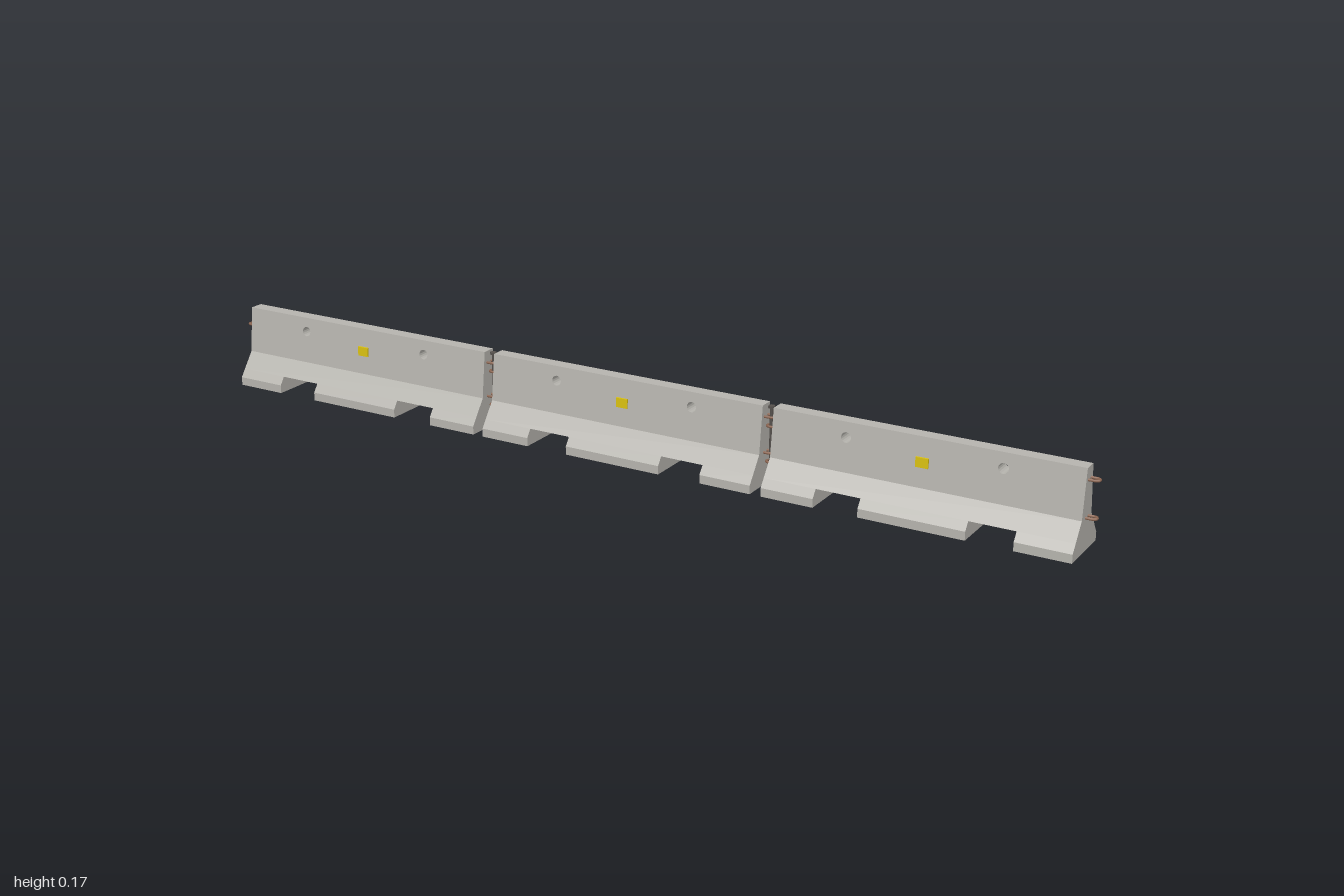
import * as THREE from 'three';
import { mergeGeometries } from 'three/addons/utils/BufferGeometryUtils.js';

const PITCH = 0.66, HALF = 0.318;            // barrier spacing and half length
const NOTCH_IN = 0.11, NOTCH_OUT = 0.205;    // forklift pockets
const FOOT = 0.018, POCKET = 0.035, KNEE = 0.07, TOP = 0.17;

// Half thickness of the barrier at a given height
function halfDepth(y) {
  if (y <= FOOT) return 0.0635;
  if (y <= KNEE) return THREE.MathUtils.mapLinear(y, FOOT, KNEE, 0.0635, 0.026);
  return THREE.MathUtils.mapLinear(y, KNEE, TOP, 0.026, 0.015);
}

// Symmetrical cross-section through the given heights, extruded from x0 to x1
function slab(heights, x0, x1) {
  const right = heights.map((y) => new THREE.Vector2(halfDepth(y), y));
  const left = heights.map((y) => new THREE.Vector2(-halfDepth(y), y)).reverse();
  const g = new THREE.ExtrudeGeometry(new THREE.Shape([...right, ...left]), { depth: x1 - x0, bevelEnabled: false });
  return g.rotateY(Math.PI / 2).translate(x0, 0, 0);
}

// Upper wall with two lifting holes, tapered towards the top
function upperWall() {
  const shape = new THREE.Shape();
  shape.moveTo(-HALF, KNEE).lineTo(HALF, KNEE).lineTo(HALF, TOP).lineTo(-HALF, TOP).closePath();
  for (const x of [-0.16, 0.16]) {
    shape.holes.push(new THREE.Path().absarc(x, 0.139, 0.0105, 0, Math.PI * 2, true));
  }
  const g = new THREE.ExtrudeGeometry(shape, { depth: 1, bevelEnabled: false, curveSegments: 8 });
  const p = g.attributes.position;
  for (let i = 0; i < p.count; i++) p.setZ(i, (p.getZ(i) > 0.5 ? 1 : -1) * halfDepth(p.getY(i)));
  g.computeVertexNormals();
  return g;
}

// Horizontal U-shaped bar sticking out of the +x end
function loopGeometry() {
  const path = new THREE.CurvePath();
  const pts = [[-0.005, -0.0075], [0.014, -0.0075], [0.0195, -0.004], [0.0195, 0.004], [0.014, 0.0075], [-0.005, 0.0075]]
    .map(([x, z]) => new THREE.Vector3(x, 0, z));
  for (let i = 1; i < pts.length; i++) path.add(new THREE.LineCurve3(pts[i - 1], pts[i]));
  return new THREE.TubeGeometry(path, 24, 0.0028, 8);
}

export function createModel() {
  const concrete = new THREE.MeshStandardMaterial({ name: 'concrete', color: 0xb5b3ad });
  const rust = new THREE.MeshStandardMaterial({ name: 'rustySteel', color: 0x8a6450 });
  const steel = new THREE.MeshStandardMaterial({ name: 'darkSteel', color: 0x55504c });
  const yellow = new THREE.MeshStandardMaterial({ name: 'reflectorYellow', color: 0xd9c010 });

  const model = new THREE.Group();
  model.name = 'barrierRow';
  const add = (parent, name, geometry, material, x = 0, y = 0, z = 0) => {
    const mesh = new THREE.Mesh(geometry, material);
    mesh.name = name;
    mesh.position.set(x, y, z);
    parent.add(mesh);
    return mesh;
  };

  // Concrete body: three feet, sloped base and upper wall
  const body = mergeGeometries([
    slab([0, FOOT, POCKET], -HALF, -NOTCH_OUT),
    slab([0, FOOT, POCKET], -NOTCH_IN, NOTCH_IN),
    slab([0, FOOT, POCKET], NOTCH_OUT, HALF),
    slab([POCKET, KNEE], -HALF, HALF),
    upperWall(),
  ]);
  const loop = loopGeometry();
  const reflector = new THREE.BoxGeometry(0.026, 0.02, 0.007);

  for (const i of [-1, 0, 1]) {
    const barrier = new THREE.Group();
    barrier.name = 'barrier';
    barrier.position.x = i * PITCH;
    model.add(barrier);
    add(barrier, 'concreteBody', body, concrete);

    // Reflectors on both faces
    for (const side of [-1, 1]) add(barrier, 'reflector', reflector, yellow, 0, 0.12, side * 0.0205);

    // Connecting loops, staggered in height so that neighbours interleave
    for (const y of [0.145, 0.07]) add(barrier, 'leftLoop', loop, rust, HALF, y);
    for (const y of [0.126, 0.051]) add(barrier, 'rightLoop', loop, rust, -HALF, y).rotation.y = Math.PI;
  }

  // Pins dropped through the loops at each joint
  const pin = new THREE.CylinderGeometry(0.0035, 0.0035, 0.13, 10);
  const head = new THREE.CylinderGeometry(0.007, 0.007, 0.005, 10);
  for (const side of [-1, 1]) {
    add(model, 'jointPin', pin, steel, side * PITCH / 2, 0.1);
    add(model, 'pinHead', head, steel, side * PITCH / 2, 0.1655);
  }
  return model;
}
